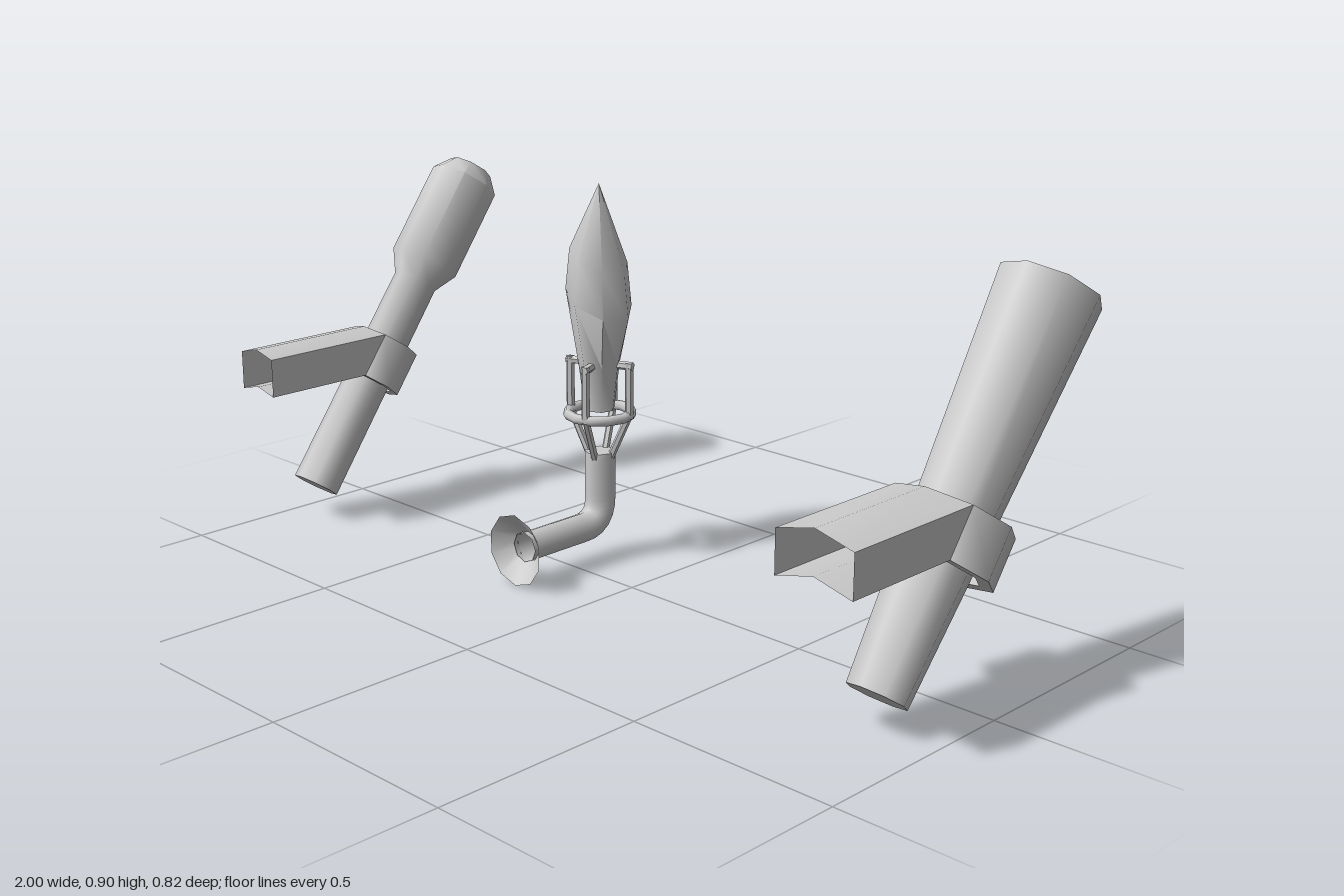
import * as THREE from 'three';
import { toCreasedNormals } from 'three/addons/utils/BufferGeometryUtils.js';

const material = new THREE.MeshStandardMaterial({ color: 0xcccccc, side: THREE.DoubleSide });
const TILT = 0.627;
const V = (x, y, z) => new THREE.Vector3(x, y, z);

function addMesh(parent, name, geometry, crease = 0.9) {
  const mesh = new THREE.Mesh(toCreasedNormals(geometry, crease), material);
  mesh.name = name;
  parent.add(mesh);
  return mesh;
}

function lathe(points, sides = 8) {
  return new THREE.LatheGeometry(points.map(([r, y]) => new THREE.Vector2(r, y)), sides);
}

// Round bar between two points
function bar(parent, name, a, b, radius) {
  const mesh = addMesh(parent, name, new THREE.CylinderGeometry(radius, radius, a.distanceTo(b), 6), 1.2);
  mesh.position.copy(a).lerp(b, 0.5);
  mesh.quaternion.setFromUnitVectors(V(0, 1, 0), b.clone().sub(a).normalize());
}

// Leaning torch held by an octagonal collar on a chevron-shaped wall arm
function leaningTorch({ name, x, y, z, profile, collarRadius, collarInner, collarLow, collarHigh, armEnd }) {
  const group = new THREE.Group();
  group.name = name;
  group.position.x = x;

  const leaning = new THREE.Group();
  leaning.name = name + 'LeaningParts';
  leaning.position.set(0, y, z);
  leaning.rotation.x = -TILT;
  group.add(leaning);
  addMesh(leaning, 'torchBody', lathe(profile));
  addMesh(leaning, 'collar', lathe([
    [collarRadius, collarLow], [collarRadius, collarHigh],
    [collarInner, collarHigh], [collarInner, collarLow], [collarRadius, collarLow],
  ]));

  // The arm extends the two front faces of the collar straight to the wall
  leaning.updateMatrix();
  const onCollar = (angle, height) =>
    V(collarRadius * Math.sin(angle), height, collarRadius * Math.cos(angle)).applyMatrix4(leaning.matrix);
  const q = Math.PI / 4;
  const near = [
    ...[-q, 0, q].map((a) => onCollar(a, collarHigh)),
    ...[q, 0, -q].map((a) => onCollar(a, collarLow)),
  ];
  const far = near.map((p) => V(p.x, p.y, armEnd));
  const corners = [];
  near.forEach((p, i) => {
    const j = (i + 1) % near.length;
    corners.push(p, far[i], far[j], p, far[j], near[j]);
  });
  const arm = new THREE.BufferGeometry().setFromPoints(corners);
  arm.computeVertexNormals();
  addMesh(group, 'wallArm', arm);
  return group;
}

// Upright torch in a wire cup on a bent pipe
function cupTorch() {
  const group = new THREE.Group();
  group.name = 'cupTorch';
  group.position.set(-0.2, 0, -0.095);

  // Bent pipe
  const path = new THREE.CurvePath();
  path.add(new THREE.LineCurve3(V(0, 0.088, 0.245), V(0, 0.088, 0.065)));
  path.add(new THREE.QuadraticBezierCurve3(V(0, 0.088, 0.065), V(0, 0.088, 0), V(0, 0.153, 0)));
  path.add(new THREE.LineCurve3(V(0, 0.153, 0), V(0, 0.267, 0)));
  addMesh(group, 'bentPipe', new THREE.TubeGeometry(path, 24, 0.036, 8, false), 1);
  const cap = addMesh(group, 'pipeCap', new THREE.CircleGeometry(0.036, 8));
  cap.rotation.x = -Math.PI / 2;
  cap.position.y = 0.267;

  // Flared wall flange, open towards the wall
  const flange = addMesh(group, 'wallFlange', new THREE.CylinderGeometry(0.086, 0.036, 0.042, 10, 1, true));
  flange.rotation.x = Math.PI / 2;
  flange.position.set(0, 0.088, 0.254);

  // Cup ring
  const ring = addMesh(group, 'cupRing', new THREE.TorusGeometry(0.076, 0.012, 6, 12), 1.2);
  ring.rotation.x = Math.PI / 2;
  ring.position.y = 0.361;

  // Four struts, posts and inward hooks
  for (let i = 0; i < 4; i++) {
    const a = 0.35 + (i * Math.PI) / 2;
    const at = (r, y) => V(r * Math.sin(a), y, r * Math.cos(a));
    bar(group, 'cupStrut', at(0.028, 0.255), at(0.074, 0.358), 0.009);
    bar(group, 'cupPost', at(0.076, 0.355), at(0.076, 0.49), 0.01);
    bar(group, 'cupHook', at(0.085, 0.482), at(0.036, 0.482), 0.01);
  }

  // Pointed torch, its widest rings slanted for a hand-cut look
  const body = lathe([[0, 0.37], [0.036, 0.37], [0.05, 0.48], [0.079, 0.63], [0.069, 0.73], [0, 0.905]], 7);
  const pos = body.attributes.position;
  for (let i = 0; i < pos.count; i++) {
    const y = pos.getY(i);
    if (y > 0.6) pos.setY(i, y - 0.45 * pos.getX(i));
  }
  addMesh(group, 'pointedTorch', body);
  return group;
}

export function createModel() {
  const model = new THREE.Group();
  model.name = 'wallTorches';
  model.add(
    leaningTorch({
      name: 'largeTorch', x: 0.868, y: 0.078, z: 0.207,
      profile: [[0, 0], [0.066, 0], [0.113, 0.895], [0, 0.875]],
      collarRadius: 0.131, collarInner: 0.1, collarLow: 0.28, collarHigh: 0.396, armEnd: 0.41,
    }),
    leaningTorch({
      name: 'smallTorch', x: -0.912, y: 0.085, z: 0.213,
      profile: [[0, 0], [0.058, 0], [0.056, 0.58], [0.088, 0.637], [0.088, 0.877], [0.056, 0.917], [0, 0.917]],
      collarRadius: 0.086, collarInner: 0.067, collarLow: 0.295, collarHigh: 0.41, armEnd: 0.37,
    }),
    cupTorch(),
  );
  return model;
}
